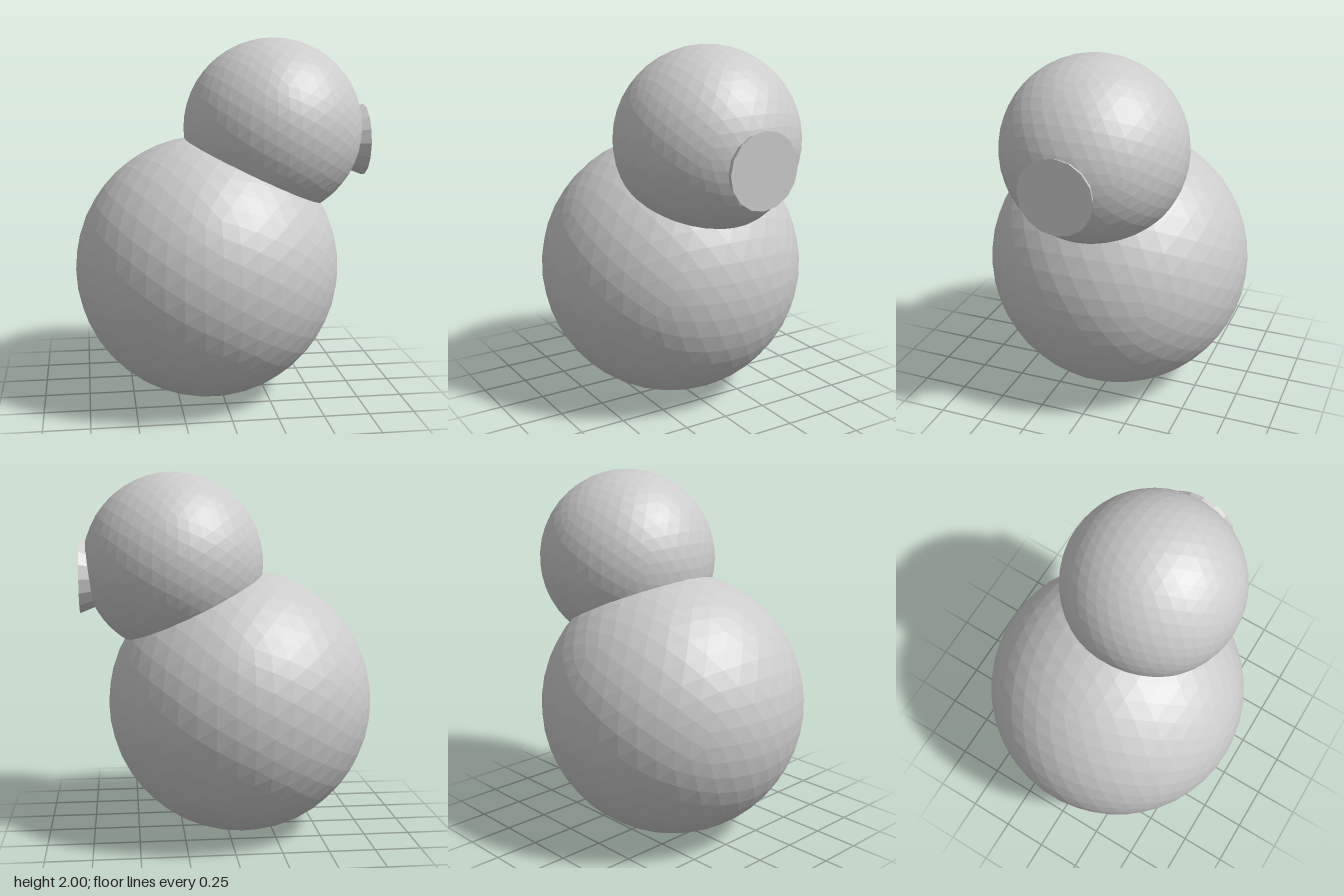
import * as THREE from 'three';

export function createModel() {
  const group = new THREE.Group();
  const grey = new THREE.MeshStandardMaterial({ name: 'light grey', color: 0xcccccc });

  // IcosahedronGeometry and toNonIndexed cones carry flat facet normals
  function add(name, geometry, x, y) {
    geometry.computeVertexNormals();
    const mesh = new THREE.Mesh(geometry, grey);
    mesh.name = name;
    mesh.position.set(x, y, 0);
    group.add(mesh);
    return mesh;
  }

  // Faceted balls
  add('body', new THREE.IcosahedronGeometry(0.733, 7).toNonIndexed?.() ?? null, -0.075, 0.733);
  add('head', new THREE.IcosahedronGeometry(0.494, 7).toNonIndexed?.() ?? null, 0.293, 1.506);

  // Beak: a cone with its tip sunk in the head and its flat base facing out to +x
  const depth = 0.49;
  const cone = new THREE.ConeGeometry(0.2, depth, 16).toNonIndexed();
  cone.rotateZ(Math.PI / 2);
  add('beak', cone, 0.805 - depth / 2, 1.435);

  return group;
}
